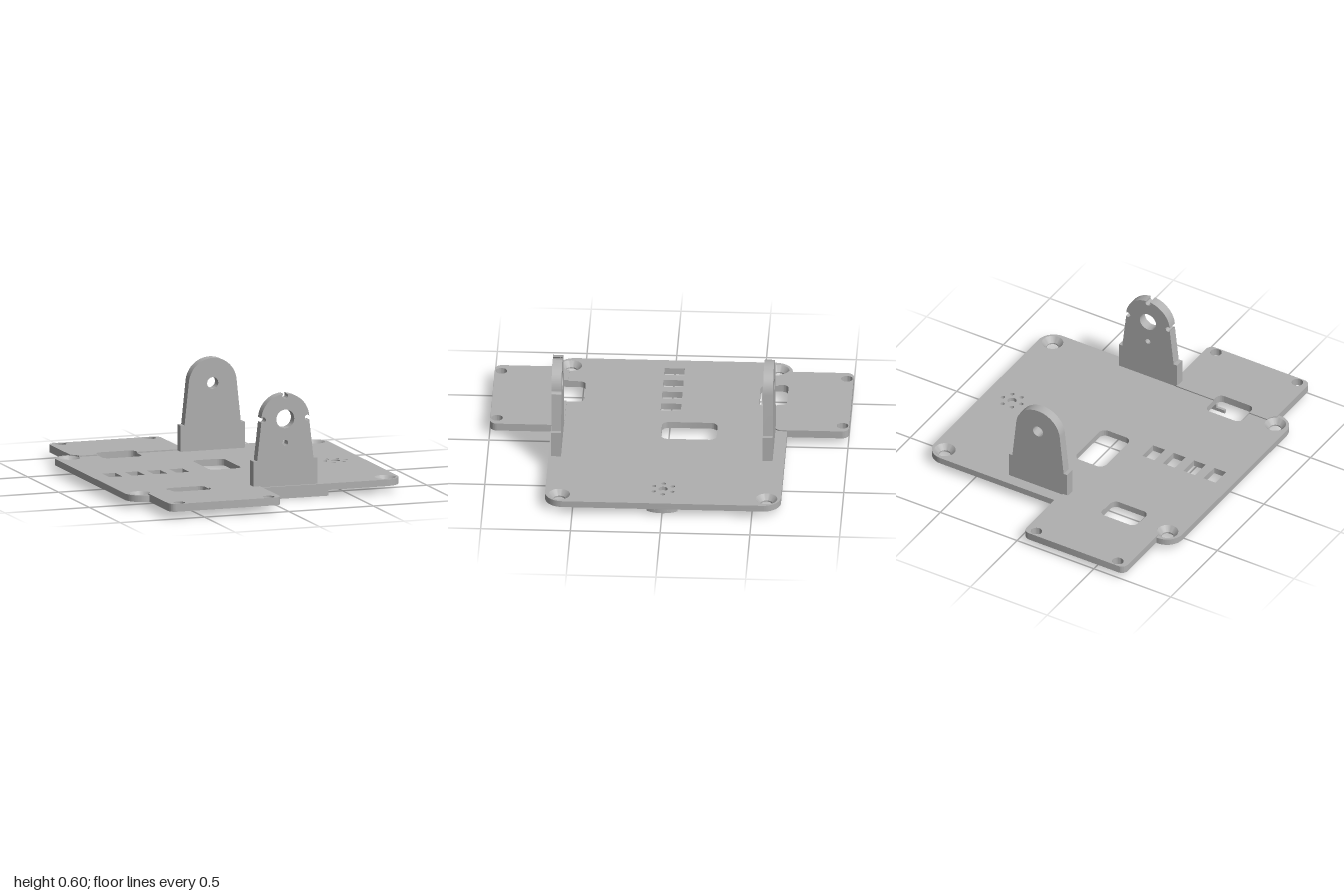
import * as THREE from 'three';
import { toCreasedNormals } from 'three/addons/utils/BufferGeometryUtils.js';

const BOTTOM = 0.04, TOP = 0.077, TAB_TOP = 0.084;
const ZC = -0.0025; // mirror plane between the front and back details

const grey = new THREE.MeshStandardMaterial({ color: 0xb0b0b0 });
grey.name = 'grey';

function add(group, name, geometry) {
  const mesh = new THREE.Mesh(geometry, grey);
  mesh.name = name;
  group.add(mesh);
  return mesh;
}

// Rounded rectangle between two corners
function roundRect(x0, y0, x1, y1, r, Type = THREE.Shape) {
  const p = new Type();
  p.absarc(x1 - r, y0 + r, r, -Math.PI / 2, 0);
  p.absarc(x1 - r, y1 - r, r, 0, Math.PI / 2);
  p.absarc(x0 + r, y1 - r, r, Math.PI / 2, Math.PI);
  p.absarc(x0 + r, y0 + r, r, Math.PI, Math.PI * 1.5);
  p.closePath();
  return p;
}

function circle(x, y, r) {
  return new THREE.Path().absarc(x, y, r, 0, Math.PI * 2);
}

function extrude(shape, depth) {
  const g = new THREE.ExtrudeGeometry(shape, { depth, bevelEnabled: false, curveSegments: 20 });
  return toCreasedNormals(g, 0.5);
}

// Slab lying flat: shape coordinates are (x, z)
function slab(shape, y0, y1) {
  return extrude(shape, y1 - y0).rotateX(Math.PI / 2).translate(0, y1, 0);
}

const screws = [];
for (const x of [-0.725, 0.725]) for (const s of [-1, 1]) screws.push([x, ZC + s * 0.5775]);

function plateShape() {
  const shape = roundRect(-0.81, -0.66, 0.805, 0.655, 0.1);
  for (const [x, z] of screws) shape.holes.push(circle(x, z, 0.06));
  shape.holes.push(roundRect(-0.55, -0.645, -0.32, -0.49, 0.035, THREE.Path));
  shape.holes.push(roundRect(-0.55, 0.485, -0.32, 0.64, 0.035, THREE.Path));
  shape.holes.push(roundRect(-0.115, -0.27, 0.075, 0.04, 0.04, THREE.Path));
  for (const x of [-0.72, -0.587, -0.455, -0.322]) {
    shape.holes.push(roundRect(x, -0.058, x + 0.077, 0.055, 0.001, THREE.Path));
  }
  return shape;
}

// Raised mounting tab, notched around the window and the screw recess
function tabShape(side) {
  const p = new THREE.Shape();
  const q = Math.PI / 2, r = 0.04, x0 = -0.7, x1 = -0.04, zi = 0.585, zo = 1;
  p.absarc(-0.725, 0.5775, 0.06, 1.14, 0.126, true);
  p.lineTo(-0.55, zi);
  p.absarc(-0.515, 0.6075, 0.035, Math.PI, q, true);
  p.absarc(-0.355, 0.6075, 0.035, q, 0, true);
  p.lineTo(-0.32, zi);
  p.absarc(x1 - r, zi + r, r, -q, 0);
  p.absarc(x1 - r, zo - r, r, 0, q);
  p.absarc(x0 + r, zo - r, r, q, Math.PI);
  const outline = p.getPoints(16).map(v => new THREE.Vector2(v.x, ZC + side * v.y));
  const shape = new THREE.Shape(outline);
  for (const x of [-0.635, -0.105]) shape.holes.push(circle(x, ZC + side * 0.9625, 0.032));
  return shape;
}

// Upright bracket with stepped foot, tapered sides and round head
function bracketShape(notched) {
  const p = new THREE.Shape();
  const cx = 0.11, cy = 0.455, R = 0.142, half = Math.PI / 2;
  p.moveTo(cx - 0.19, TOP - 0.005);
  p.lineTo(cx + 0.19, TOP - 0.005);
  p.lineTo(cx + 0.19, 0.225);
  p.lineTo(cx + 0.167, 0.225);
  if (notched) {
    for (let i = 0; i < 3; i++) {
      const a = i * half;
      p.absarc(cx + 0.131 * Math.cos(a), cy + 0.131 * Math.sin(a), 0.016, a - 0.813, a + 0.813, true);
      if (i < 2) p.absarc(cx, cy, R, a + 0.083, a + half - 0.083);
    }
  } else {
    p.absarc(cx, cy, R, 0.1, Math.PI - 0.1);
  }
  p.lineTo(cx - 0.167, 0.225);
  p.lineTo(cx - 0.19, 0.225);
  p.closePath();
  p.holes.push(circle(cx, cy, notched ? 0.053 : 0.033));
  if (notched) p.holes.push(circle(cx, 0.32, 0.016));
  return p;
}

// Piece of the thin ring under the plate
function ringShape(a0, a1) {
  const p = new THREE.Shape();
  p.absarc(0.64, 0, 0.16, a0, a1);
  p.absarc(0.64, 0, 0.143, a1, a0, true);
  p.closePath();
  return p;
}

export function createModel() {
  const model = new THREE.Group();
  model.name = 'mountingPlate';

  // Base plate: lower layer is closed under the blind pin holes
  add(model, 'plateLower', slab(plateShape(), BOTTOM, 0.055));
  const upper = plateShape();
  upper.holes.push(circle(0.64, 0, 0.025));
  for (let i = 0; i < 6; i++) {
    const a = i * Math.PI / 3;
    upper.holes.push(circle(0.64 + 0.06 * Math.cos(a), 0.06 * Math.sin(a), 0.012));
  }
  add(model, 'plateUpper', slab(upper, 0.055, TOP));

  // Countersunk screw holes
  const sink = [[0.06, TOP], [0.033, 0.048], [0.033, BOTTOM], [0.06, BOTTOM]];
  for (const [x, z] of screws) {
    const g = new THREE.LatheGeometry(sink.map(p => new THREE.Vector2(...p)), 40);
    add(model, 'countersink', toCreasedNormals(g, 0.5)).position.set(x, 0, z);
  }

  // Side tabs and bottom rails, front and back
  for (const side of [1, -1]) {
    const label = side > 0 ? 'front' : 'back';
    add(model, label + 'Tab', slab(tabShape(side), BOTTOM, TAB_TOP));

    const rail = new THREE.Shape();
    rail.moveTo(-0.38, 0);
    rail.lineTo(0.375, 0);
    rail.lineTo(0.375, BOTTOM);
    rail.lineTo(-0.325, BOTTOM);
    rail.lineTo(-0.325, 0.02);
    rail.lineTo(-0.38, 0.02);
    add(model, label + 'Rail', extrude(rail, 0.016)).position.z = side > 0 ? 0.599 : -0.613;
  }

  // Brackets
  add(model, 'frontBracket', extrude(bracketShape(true), 0.055)).position.z = 0.585;
  add(model, 'backBracket', extrude(bracketShape(false), 0.055)).position.z = -0.594;

  // Locating ring under the plate with four teeth
  const ring = new THREE.Shape().absarc(0.64, 0, 0.16, 0, Math.PI * 2);
  ring.holes.push(circle(0.64, 0, 0.143));
  add(model, 'locatingRing', slab(ring, 0.03, BOTTOM));
  for (let i = 0; i < 4; i++) {
    const a = i * Math.PI / 2;
    add(model, 'ringTooth', slab(ringShape(a - 0.56, a + 0.56), 0.012, 0.03));
  }
  return model;
}
